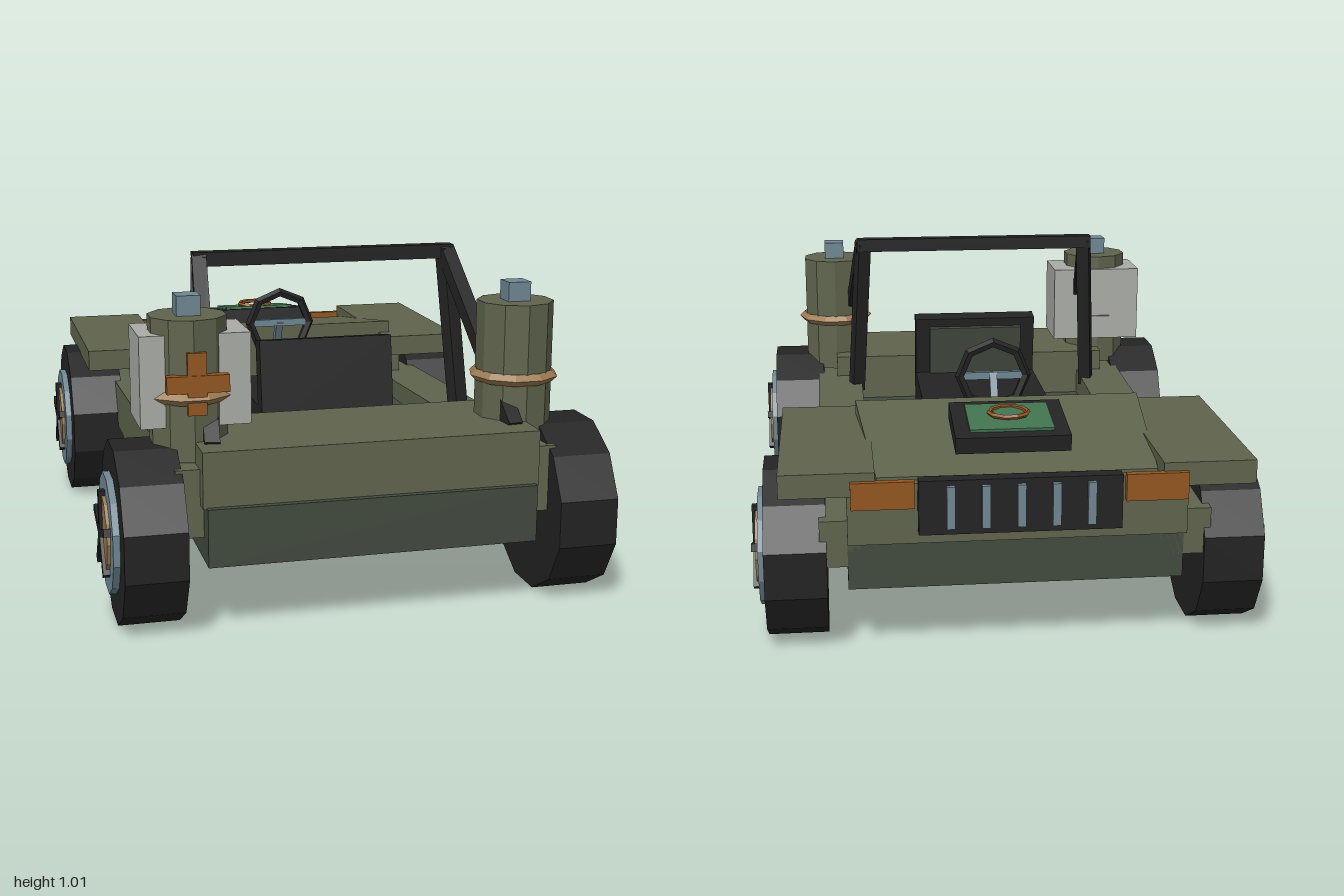
import * as THREE from 'three';

const mat = (name, color) => {
  const m = new THREE.MeshStandardMaterial({ color, flatShading: true });
  m.name = name;
  return m;
};

export function createModel() {
  const car = new THREE.Group();
  car.name = 'openBuggy';
  const olive = mat('olive paint', 0x5f644c);
  const dark = mat('dark olive', 0x424a3e);
  const black = mat('black rubber', 0x232324);
  const steel = mat('blue steel', 0x6f8793);
  const tan = mat('tan brass', 0x9c7c52);
  const orange = mat('orange', 0x93561f);
  const green = mat('panel green', 0x427350);
  const grey = mat('light grey', 0xaaaca6);

  const add = (name, geo, m, x = 0, y = 0, z = 0, parent = car) => {
    const mesh = new THREE.Mesh(geo, m);
    mesh.name = name;
    mesh.position.set(x, y, z);
    parent.add(mesh);
    return mesh;
  };
  // Box given by its min and max along each axis
  const box = (name, m, x0, x1, y0, y1, z0, z1, parent = car) =>
    add(name, new THREE.BoxGeometry(x1 - x0, y1 - y0, z1 - z0), m,
      (x0 + x1) / 2, (y0 + y1) / 2, (z0 + z1) / 2, parent);
  // Square bar between two points
  const bar = (name, m, a, b, t) => {
    const p = new THREE.Vector3(...a), q = new THREE.Vector3(...b);
    const mesh = add(name, new THREE.BoxGeometry(t, t, p.distanceTo(q)), m);
    mesh.position.copy(p).lerp(q, 0.5);
    mesh.lookAt(q);
    return mesh;
  };

  // Tub, rear deck and nose
  box('tub', dark, -0.49, 0.49, 0.21, 0.38, -0.9, 0.965);
  box('rearDeck', olive, -0.5, 0.5, 0.375, 0.54, 0.54, 0.945);
  box('nose', olive, -0.49, 0.49, 0.36, 0.54, -0.94, -0.37);

  // Hood: sloping wedge, wider towards the cockpit
  const hoodGeo = new THREE.BoxGeometry(1, 1, 1);
  const hp = hoodGeo.attributes.position;
  for (let i = 0; i < hp.count; i++) {
    const back = hp.getZ(i) > 0, top = hp.getY(i) > 0;
    hp.setXYZ(i, Math.sign(hp.getX(i)) * (back ? 0.45 : 0.405),
      top ? (back ? 0.627 : 0.55) : (back ? 0.53 : 0.5), back ? -0.375 : -0.91);
  }
  hoodGeo.computeVertexNormals();
  add('hood', hoodGeo, olive);

  // Side rails and front fenders
  const railShape = new THREE.Shape([[-0.9, 0.28], [0.9, 0.28], [0.9, 0.48], [-0.9, 0.42]]
    .map(([z, y]) => new THREE.Vector2(-z, y)));
  for (const s of [-1, 1]) {
    const rail = add('sideRail', new THREE.ExtrudeGeometry(railShape, { depth: 0.16, bevelEnabled: false }),
      olive, s > 0 ? 0.41 : -0.57);
    rail.rotation.y = Math.PI / 2;
    box('frontFender', olive, s * 0.545 - 0.135, s * 0.545 + 0.135, 0.515, 0.585, -0.968, -0.285);
    box('headlight', orange, s * 0.39 - 0.09, s * 0.39 + 0.09, 0.48, 0.56, -0.985, -0.962);
  }

  // Grille
  box('grille', black, -0.29, 0.29, 0.4, 0.56, -0.985, -0.94);
  for (let i = -2; i <= 2; i++) box('grilleBar', steel, i * 0.1 - 0.012, i * 0.1 + 0.012, 0.42, 0.545, -1, -0.98);

  // Hood instrument, tilted with the hood
  const unit = new THREE.Group();
  unit.name = 'hoodInstrument';
  unit.position.set(0, 0.62, -0.677);
  unit.rotation.x = -0.14;
  car.add(unit);
  add('instrumentCase', new THREE.BoxGeometry(0.34, 0.05, 0.26), black, 0, 0, 0, unit);
  add('instrumentScreen', new THREE.BoxGeometry(0.25, 0.012, 0.185), green, 0, 0.028, 0, unit);
  const ring = add('instrumentRing', new THREE.TorusGeometry(0.058, 0.008, 5, 10), orange, 0, 0.662, -0.67);
  ring.rotation.x = Math.PI / 2;

  // Wheels
  const drum = (r, w, n, turn) => new THREE.CylinderGeometry(r, r, w, n).rotateY(turn).rotateZ(-Math.PI / 2);
  for (const s of [-1, 1]) for (const z of [-0.655, 0.74]) {
    const wheel = new THREE.Group();
    wheel.name = 'wheel';
    wheel.position.set(s * 0.64, 0.262, z);
    if (s < 0) wheel.rotation.y = Math.PI;
    car.add(wheel);
    add('tyre', drum(0.27, 0.18, 12, Math.PI / 12), black, 0, 0, 0, wheel);
    add('rim', drum(0.178, 0.04, 12, Math.PI / 12), steel, 0.09, 0, 0, wheel);
    add('hubDisc', drum(0.118, 0.05, 12, 0), tan, 0.095, 0, 0, wheel);
    for (let i = 0; i < 5; i++) {
      const a = i * Math.PI * 2 / 5;
      const spoke = add('spoke', new THREE.BoxGeometry(0.02, 0.13, 0.024), black,
        0.12, 0.065 * Math.cos(a), 0.065 * Math.sin(a), wheel);
      spoke.rotation.x = a;
    }
  }

  // Roll bar
  box('rollBarTop', black, -0.42, 0.42, 0.972, 1.016, 0.343, 0.387);
  for (const s of [-1, 1]) {
    bar('rollBarLeg', black, [s * 0.398, 1, 0.368], [s * 0.43, 0.44, 0.455], 0.045);
    bar('rollBarBrace', black, [s * 0.4, 0.995, 0.368], [s * 0.455, 0.53, 0.85], 0.045);
  }

  // Seat
  box('seatCushion', black, -0.215, 0.215, 0.37, 0.52, -0.055, 0.4);
  const backrest = new THREE.Group();
  backrest.name = 'backrest';
  backrest.position.set(0, 0.59, 0.382);
  backrest.rotation.x = -0.15;
  car.add(backrest);
  add('backrestFrame', new THREE.BoxGeometry(0.43, 0.28, 0.06), black, 0, 0, 0, backrest);
  add('backrestPad', new THREE.BoxGeometry(0.33, 0.19, 0.018), dark, 0, 0.015, -0.038, backrest);

  // Steering
  add('steeringWheel', new THREE.TorusGeometry(0.108, 0.016, 5, 8), black, 0, 0.665, -0.25);
  box('steeringSpoke', steel, -0.1, 0.1, 0.653, 0.677, -0.259, -0.241);
  bar('steeringColumn', steel, [0, 0.67, -0.25], [0, 0.45, -0.37], 0.024);

  // Rear canisters with caps and straps
  for (const s of [-1, 1]) {
    const can = new THREE.Group();
    can.name = 'canister';
    can.position.set(s * 0.5, 0, 0.72);
    car.add(can);
    add('canisterBody', new THREE.CylinderGeometry(0.115, 0.115, 0.41, 10), olive, 0, 0.685, 0, can);
    add('canisterCap', new THREE.BoxGeometry(0.07, 0.06, 0.07), steel, 0, 0.918, 0, can);
    const strap = add('canisterStrap', new THREE.TorusGeometry(0.118, 0.018, 4, 10), tan, 0, 0.665, 0, can);
    strap.rotation.x = Math.PI / 2;
  }

  // Supply case with cross around the right canister
  box('supplyCase', grey, -0.65, -0.33, 0.578, 0.845, 0.592, 0.8);
  box('crossUpright', orange, -0.52, -0.465, 0.62, 0.8, 0.815, 0.842);
  box('crossArm', orange, -0.58, -0.4, 0.685, 0.735, 0.815, 0.845);
  return car;
}
